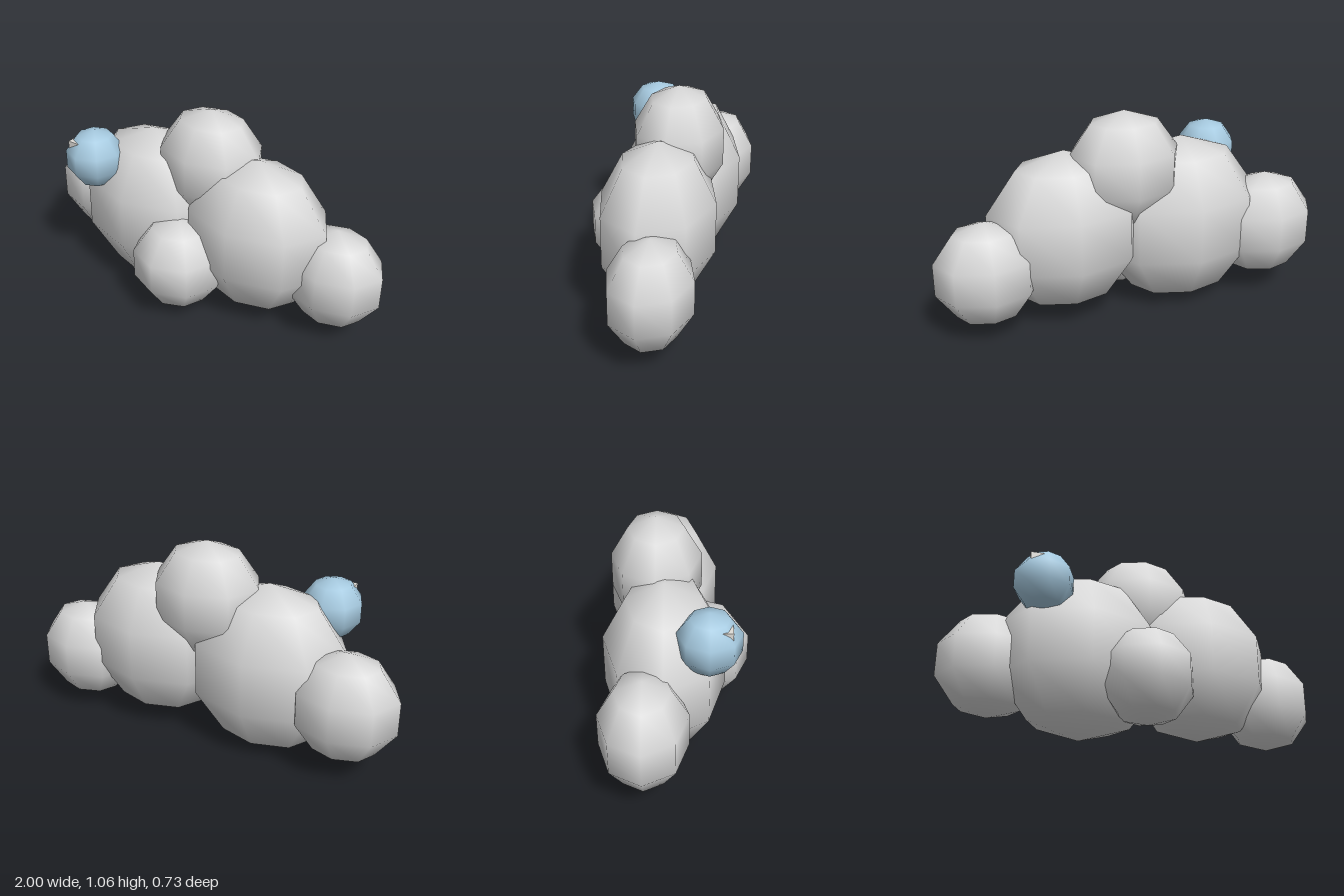
import * as THREE from 'three';

const cloudGrey = new THREE.MeshStandardMaterial({ color: 0xd8d8d8 });
cloudGrey.name = 'cloudGrey';
const paleBlue = new THREE.MeshStandardMaterial({ color: 0xa6cae0 });
paleBlue.name = 'paleBlue';
const offWhite = new THREE.MeshStandardMaterial({ color: 0xe0ddd8 });
offWhite.name = 'offWhite';

// Low-poly ball with smooth normals; rz squashes it front to back
function puff(name, [x, y, z], r, rz, material) {
  const mesh = new THREE.Mesh(new THREE.SphereGeometry(1, 8, 5), material);
  mesh.name = name;
  mesh.position.set(x, y, z);
  mesh.scale.set(r, r, rz);
  return mesh;
}

export function createModel() {
  const model = new THREE.Group();
  model.name = 'cloud';

  // Cloud body
  const puffs = [
    ['largePuffRight', [-0.29, 0.447, -0.065], 0.443, 0.315],
    ['largePuffLeft', [0.33, 0.475, -0.08], 0.413, 0.297],
    ['topPuff', [0.03, 0.768, -0.107], 0.297, 0.237],
    ['frontPuff', [0.005, 0.298, 0.13], 0.25, 0.25],
    ['endPuffRight', [-0.733, 0.389, -0.155], 0.28, 0.221],
    ['endPuffLeft', [0.747, 0.341, -0.152], 0.266, 0.213],
  ];
  for (const [name, centre, r, rz] of puffs) {
    model.add(puff(name, centre, r, rz, cloudGrey));
  }

  // Small blue ball on the upper front
  model.add(puff('blueBall', [-0.53, 0.734, 0.143], 0.157, 0.16, paleBlue));

  // Little block whose corner pokes out of the ball
  const chip = new THREE.Mesh(new THREE.BoxGeometry(0.085, 0.06, 0.065), offWhite);
  chip.name = 'ballChip';
  chip.position.set(-0.574, 0.81, 0.213);
  model.add(chip);

  return model;
}
